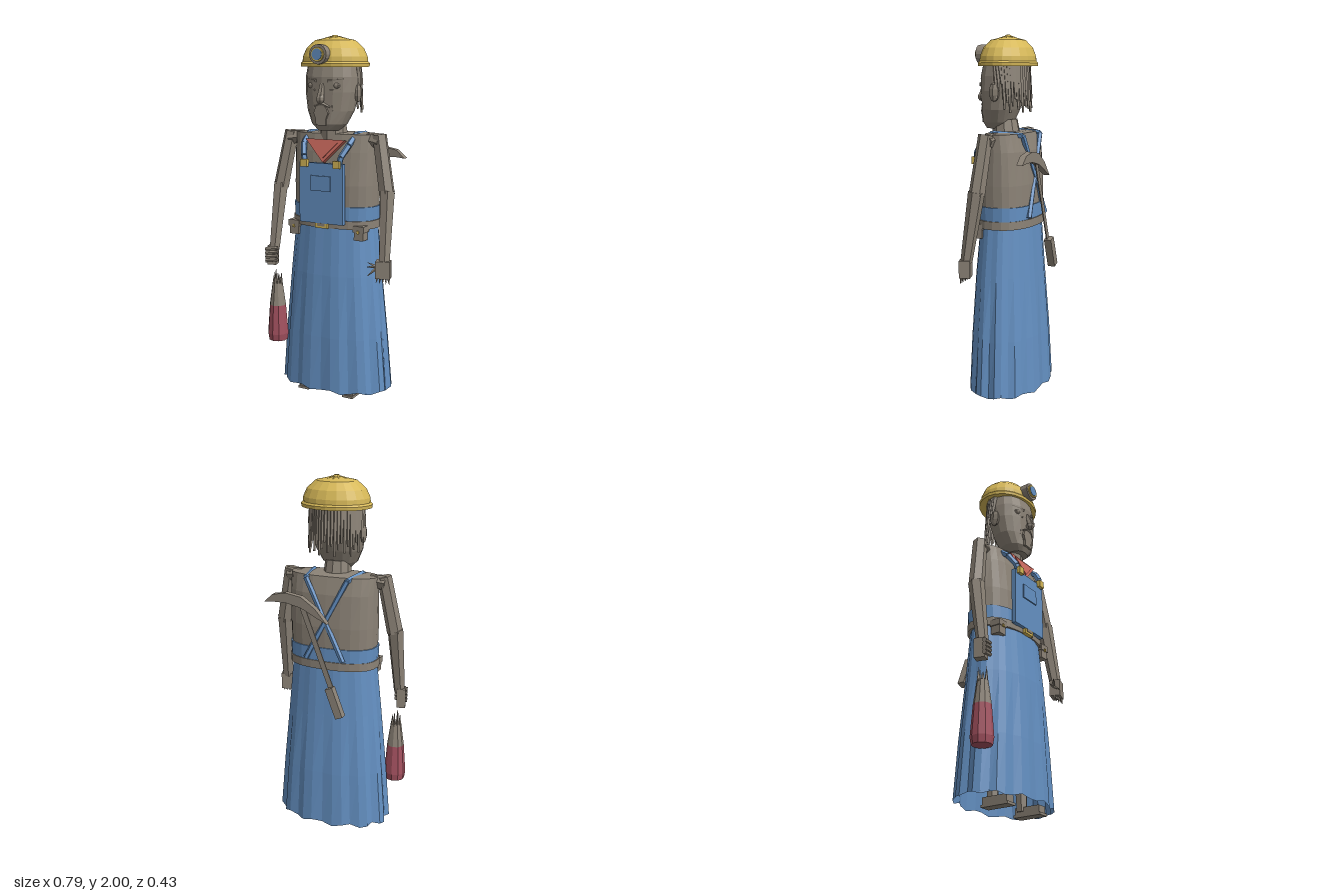
import * as THREE from 'three';

const V = (x, y, z) => new THREE.Vector3(x, y, z);
const paint = (name, color, side = THREE.FrontSide) => {
  const m = new THREE.MeshStandardMaterial({ color, flatShading: true, side });
  m.name = name;
  return m;
};

// Rings of [y, half width, front z, back z], joined into a skin
function loft(rings, sides, power = 2, capped = true, warp = null) {
  const pos = [], idx = [];
  rings.forEach(([y, rx, zf, zb], i) => {
    for (let j = 0; j < sides; j++) {
      const t = (j / sides) * Math.PI * 2;
      const round = v => Math.sign(v) * Math.abs(v) ** (2 / power);
      const p = V(rx * round(Math.sin(t)), y, (zf - zb) / 2 * round(Math.cos(t)));
      if (warp) warp(p, t, i, j);
      pos.push(p.x, p.y, p.z + (zf + zb) / 2);
    }
  });
  for (let i = 0; i < rings.length - 1; i++) {
    for (let j = 0; j < sides; j++) {
      const k = (j + 1) % sides, a = i * sides, b = a + sides;
      idx.push(a + j, a + k, b + k, a + j, b + k, b + j);
    }
  }
  if (capped) {
    const top = (rings.length - 1) * sides;
    for (let j = 1; j < sides - 1; j++) idx.push(0, j + 1, j, top, top + j, top + j + 1);
  }
  const g = new THREE.BufferGeometry();
  g.setAttribute('position', new THREE.Float32BufferAttribute(pos, 3));
  g.setIndex(idx);
  g.computeVertexNormals();
  return g;
}

export function createModel() {
  const root = new THREE.Group();
  const grey = paint('warm grey', 0x8c8377);
  const blue = paint('denim blue', 0x6490c2);
  const cloth = paint('skirt blue', 0x6490c2, THREE.DoubleSide);
  const yellow = paint('helmet yellow', 0xd6b858);
  const red = paint('scarf red', 0xcc6a5e);
  const wine = paint('bottle red', 0xa3515f);

  const add = (name, geo, mat, x = 0, y = 0, z = 0) => {
    const m = new THREE.Mesh(geo, mat);
    m.name = name;
    m.position.set(x, y, z);
    root.add(m);
    return m;
  };
  const box = (name, mat, w, h, d, x, y, z) => add(name, new THREE.BoxGeometry(w, h, d), mat, x, y, z);
  // Tapered bar from a to b
  const bar = (name, mat, a, b, ra, rb, sides = 6) => {
    const g = new THREE.CylinderGeometry(rb, ra, a.distanceTo(b), sides);
    const m = add(name, g, mat);
    m.position.copy(a).lerp(b, 0.5);
    m.quaternion.setFromUnitVectors(V(0, 1, 0), b.clone().sub(a).normalize());
    return m;
  };
  // Flat-sided strap along a list of points
  const strap = (name, pts, r) => {
    for (let i = 0; i < pts.length - 1; i++) bar(name, blue, pts[i], pts[i + 1], r, r, 5);
  };

  // Body, waistband, belt and pleated skirt
  add('torso', loft([[1, 0.245, 0.14, -0.14], [1.2, 0.25, 0.14, -0.14], [1.38, 0.25, 0.12, -0.125],
    [1.475, 0.25, 0.1, -0.1], [1.48, 0.12, 0.08, -0.06]], 24, 2.5), grey);
  add('waistband', loft([[1, 0.25, 0.146, -0.146], [1.085, 0.254, 0.146, -0.146]], 24, 2.5), blue);
  add('belt', loft([[0.965, 0.257, 0.158, -0.152], [1.01, 0.257, 0.158, -0.152]], 24, 2.4), grey);
  const pleat = (p, t, i, j) => {
    const f = 1 + (j % 3 === 0 ? -0.05 : 0.01) * (i === 0 ? 1 : i === 1 ? 0.8 : 0.35);
    p.x *= f;
    p.z *= f;
    if (i === 0) p.y += 0.01 * Math.sin(j * 1.9);
  };
  add('skirt', loft([[0.04, 0.33, 0.205, -0.2], [0.35, 0.305, 0.195, -0.185], [0.7, 0.272, 0.175, -0.16],
    [0.98, 0.245, 0.15, -0.142]], 36, 2.15, false, pleat), cloth);
  box('buckle', yellow, 0.075, 0.04, 0.025, -0.005, 0.985, 0.16);
  box('buckleCentre', grey, 0.045, 0.016, 0.008, -0.005, 0.985, 0.172);

  // Bib with pocket and scarf
  box('bib', blue, 0.27, 0.33, 0.025, -0.005, 1.157, 0.162);
  box('bibPocket', blue, 0.122, 0.082, 0.008, -0.005, 1.212, 0.178);
  const triangle = (s, d) => new THREE.ExtrudeGeometry(
    new THREE.Shape([[-0.12, 0.05], [0, -0.075], [0.12, 0.05]].map(([x, y]) => new THREE.Vector2(x * s, y * s))),
    { depth: d, bevelEnabled: false });
  add('scarf', triangle(1, 0.03), red, -0.005, 1.392, 0.112).rotation.x = -0.2;
  add('scarfFold', triangle(0.7, 0.036), red, -0.005, 1.392, 0.112).rotation.x = -0.2;

  // Paired parts
  for (const s of [-1, 1]) {
    const P = (x, y, z) => V(s * x, y, z);
    strap('frontStrap', [P(0.1, 1.3, 0.172), P(0.115, 1.36, 0.165), P(0.14, 1.42, 0.125), P(0.145, 1.475, 0.05)], 0.017);
    strap('shoulderStrap', [P(0.145, 1.475, 0.05), P(0.12, 1.465, -0.115)], 0.015);
    strap('backStrap', [P(0.12, 1.465, -0.115), P(-0.11, 1.02, -0.15)], 0.015);
    box('strapButton', yellow, 0.04, 0.04, 0.025, s * 0.1 - 0.002, 1.32, 0.182);
    box('pouch', grey, 0.055, 0.075, 0.055, s * 0.203, 0.945, 0.105);
    box('pouchFlap', grey, 0.068, 0.035, 0.064, s * 0.203, 0.97, 0.105);
    box('pouchClasp', yellow, 0.012, 0.016, 0.008, s * 0.203, 0.955, 0.139);

    // Arms
    bar('shoulder', grey, P(0.2, 1.45, 0.02), P(0.285, 1.44, 0.03), 0.035, 0.045);
    bar('upperArm', grey, P(0.275, 1.475, 0.03), P(0.335, 1.16, 0.055), 0.04, 0.044);
    bar('foreArm', grey, P(0.336, 1.18, 0.055), P(0.35, 0.8, 0.112), 0.045, 0.032);

    // Legs and boots
    bar('leg', grey, P(0.13, 0.03, 0.02), P(0.11, 0.95, 0), 0.03, 0.06);
    box('bootSole', grey, 0.066, 0.014, 0.165, s * 0.143, 0.007, 0.062);
    box('boot', grey, 0.06, 0.04, 0.15, s * 0.143, 0.032, 0.062);

    // Ears, eyes, brows and moustache
    add('ear', new THREE.SphereGeometry(0.04, 6, 5), grey, s * 0.15, 1.695, 0.04).scale.set(0.45, 1.3, 0.8);
    add('eye', new THREE.SphereGeometry(0.02, 8, 6), grey, s * 0.075, 1.735, 0.146).scale.set(1.2, 0.8, 0.8);
    bar('brow', grey, P(0.035, 1.76, 0.168), P(0.11, 1.768, 0.132), 0.009, 0.006, 4);
    bar('eyeBag', grey, P(0.045, 1.71, 0.165), P(0.1, 1.715, 0.138), 0.005, 0.004, 4);
    bar('moustache', grey, P(0, 1.64, 0.172), P(0.045, 1.622, 0.165), 0.011, 0.005, 4);
    bar('cheekFold', grey, P(0.055, 1.63, 0.158), P(0.06, 1.57, 0.148), 0.004, 0.004, 4);
  }

  // Open left hand with pointed fingers
  box('leftHand', grey, 0.08, 0.095, 0.06, 0.348, 0.765, 0.118).rotation.y = 0.3;
  for (let i = 0; i < 5; i++) {
    bar('leftFinger', grey, V(0.318 + i * 0.016, 0.72, 0.125), V(0.31 + i * 0.02, 0.688, 0.13), 0.008, 0.001, 4);
  }
  for (const [x, y, z] of [[0.255, 0.77, 0.13], [0.27, 0.8, 0.15], [0.285, 0.735, 0.18]]) {
    bar('leftThumb', grey, V(0.315, 0.775, 0.12), V(x, y, z), 0.011, 0.002, 4);
  }

  // Closed right hand
  box('rightPalm', grey, 0.05, 0.11, 0.06, -0.362, 0.765, 0.11).rotation.y = 0.3;
  for (let i = 0; i < 4; i++) {
    bar('rightFinger', grey, V(-0.385, 0.8 - i * 0.022, 0.15), V(-0.315, 0.81 - i * 0.022, 0.135), 0.013, 0.011);
  }

  // Bottle with a jagged neck
  const lathe = pts => new THREE.LatheGeometry(pts.map(p => new THREE.Vector2(...p)), 10);
  add('bottleBase', lathe([[0, 0.26], [0.055, 0.26], [0.061, 0.3], [0.048, 0.47]]), wine, -0.337, 0, 0.105);
  add('bottleNeck', lathe([[0.048, 0.47], [0.03, 0.6], [0, 0.6]]), grey, -0.337, 0, 0.105);
  for (let i = 0; i < 8; i++) {
    const a = i * Math.PI / 4, x = -0.337 + Math.cos(a) * 0.023, z = 0.105 + Math.sin(a) * 0.023;
    bar('bottleShard', grey, V(x, 0.59, z), V(x, 0.64 + (i % 3) * 0.017, z), 0.009, 0.001, 4);
  }

  // Neck and head
  bar('neck', grey, V(0, 1.44, 0.035), V(0, 1.54, 0.045), 0.08, 0.07, 10);
  add('head', loft([[1.495, 0.06, 0.15, 0.03], [1.53, 0.098, 0.166, 0], [1.6, 0.132, 0.165, -0.03],
    [1.7, 0.15, 0.168, -0.06], [1.78, 0.15, 0.17, -0.075], [1.85, 0.14, 0.155, -0.07]], 16, 2.2), grey);
  bar('noseBridge', grey, V(0, 1.745, 0.165), V(0, 1.665, 0.188), 0.012, 0.02, 5);
  add('noseTip', new THREE.SphereGeometry(0.025, 6, 5), grey, 0, 1.665, 0.186);
  add('mouth', new THREE.CylinderGeometry(0.044, 0.044, 0.02, 8), grey, -0.005, 1.59, 0.164).rotation.x = Math.PI / 2;
  box('chinTuft', grey, 0.06, 0.05, 0.02, -0.005, 1.55, 0.164);

  // Hair strands around the sides and back
  for (let i = 0; i <= 26; i++) {
    const a = Math.PI * (0.5 + i / 26), x = Math.sin(a) * 0.152, z = 0.03 + Math.cos(a) * 0.118;
    const low = 1.585 + ((i * 7) % 5) * 0.018 + (i < 3 || i > 23 ? 0.08 : 0);
    bar('hairStrand', grey, V(x * 1.02, low, z - 0.008), V(x * 0.96, 1.84, z + 0.01), 0.006, 0.014, 4);
  }

  // Helmet, crown ridges and lamp
  const helmet = add('helmet', new THREE.LatheGeometry([[0.15, 1.845], [0.195, 1.832], [0.197, 1.85], [0.186, 1.86],
    [0.184, 1.885], [0.163, 1.93], [0.115, 1.972], [0.035, 1.988], [0, 1.99]].map(p => new THREE.Vector2(...p)), 20),
  yellow, 0, 0, 0.025);
  helmet.scale.z = 0.8;
  add('helmetLining', new THREE.CylinderGeometry(0.16, 0.16, 0.008, 20), yellow, 0, 1.846, 0.025).scale.z = 0.8;
  add('helmetButton', new THREE.CylinderGeometry(0.012, 0.03, 0.016, 8), yellow, 0, 1.992, 0.025);
  for (let i = 0; i < 10; i++) {
    const a = i * Math.PI / 5;
    bar('crownRidge', yellow, V(Math.sin(a) * 0.1, 1.972, 0.025 + Math.cos(a) * 0.08),
      V(Math.sin(a) * 0.02, 1.99, 0.025 + Math.cos(a) * 0.02), 0.001, 0.005, 4);
  }
  const lamp = (name, r, d, mat, z) => {
    add(name, new THREE.CylinderGeometry(r, r, d, 16), mat, -0.005, 1.897, z).rotation.x = Math.PI / 2;
  };
  lamp('lampCasing', 0.052, 0.045, grey, 0.18);
  lamp('lampRim', 0.038, 0.012, yellow, 0.206);
  lamp('lampLens', 0.03, 0.005, blue, 0.212);

  // Pickaxe across the back
  const blade = [[0.33, 1.33], [0.28, 1.375], [0.2, 1.39], [0.11, 1.375], [0.03, 1.32], [-0.04, 1.24],
    [0.05, 1.285], [0.11, 1.315], [0.2, 1.335], [0.28, 1.335]].map(p => new THREE.Vector2(...p));
  add('pickBlade', new THREE.ExtrudeGeometry(new THREE.Shape(blade), { depth: 0.035, bevelEnabled: false }),
    grey, 0, 0, -0.206);
  const tilt = Math.atan2(0.19, 0.5);
  const handle = box('pickHandle', grey, 0.03, 0.53, 0.006, 0.03, 1.11, -0.19);
  handle.rotation.z = -tilt;
  const grip = box('pickGrip', grey, 0.044, 0.175, 0.042, -0.085, 0.8, -0.199);
  grip.rotation.z = -tilt;

  return root;
}
